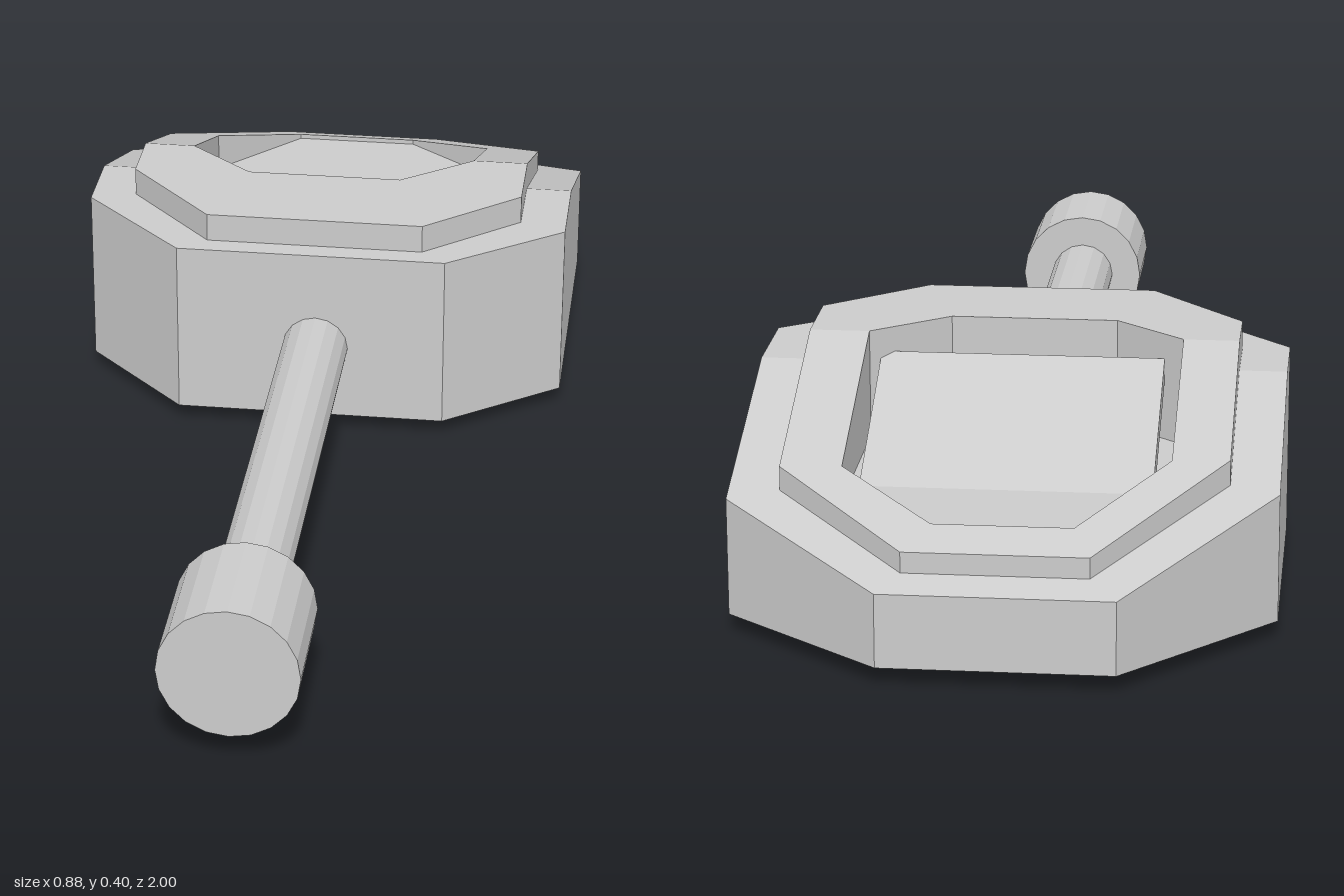
import * as THREE from 'three';

const material = new THREE.MeshStandardMaterial({ color: 0xcccccc, flatShading: true });

// Outlines in plan [x, z]; each carries two points on the crease where the top starts to slope
const CREASE = -0.43;
const hullPlan = [[-0.2, -1], [-0.44, -0.74], [-0.44, CREASE], [-0.44, -0.29], [-0.25, -0.1],
  [0.235, -0.1], [0.44, -0.255], [0.44, CREASE], [0.44, -0.79], [0.175, -1]];
const rimPlan = [[-0.155, -0.95], [-0.36, -0.72], [-0.36, CREASE], [-0.36, -0.315], [-0.2, -0.14],
  [0.19, -0.14], [0.357, -0.285], [0.357, CREASE], [0.357, -0.765], [0.14, -0.95]];
const recessPlan = [[-0.125, -0.885], [-0.267, -0.725], [-0.267, CREASE], [-0.265, -0.428], [-0.15, -0.33],
  [0.13, -0.33], [0.255, -0.428], [0.257, CREASE], [0.257, -0.76], [0.1, -0.885]];

const sloped = (top, fall) => z => top - fall * Math.max(0, CREASE - z);
const hullTop = sloped(0.352, 0.351);
const rimTop = sloped(0.403, 0.383);
const level = y => () => y;
const loop = (plan, height) => plan.map(([x, z]) => [x, height(z), z]);

// Skins consecutive loops and closes the first and last one with flat caps
function skin(loops) {
  const p = [];
  const tri = (a, b, c) => p.push(...a, ...b, ...c);
  const n = loops[0].length;
  for (let k = 0; k + 1 < loops.length; k++) {
    for (let i = 0; i < n; i++) {
      const j = (i + 1) % n;
      const [a, b] = [loops[k], loops[k + 1]];
      tri(a[i], a[j], b[j]);
      tri(a[i], b[j], b[i]);
    }
  }
  const first = loops[0], last = loops[loops.length - 1];
  for (let i = 1; i + 1 < n; i++) {
    tri(first[0], first[i + 1], first[i]);
    tri(last[0], last[i], last[i + 1]);
  }
  const g = new THREE.BufferGeometry();
  g.setAttribute('position', new THREE.Float32BufferAttribute(p, 3));
  g.computeVertexNormals();
  return g;
}

export function createModel() {
  const model = new THREE.Group();
  const add = (name, geometry, x = 0, y = 0, z = 0) => {
    const mesh = new THREE.Mesh(geometry, material);
    mesh.name = name;
    mesh.position.set(x, y, z);
    model.add(mesh);
    return mesh;
  };

  // Eight-sided body: wall, shoulder, raised rim and open recess
  const floorY = 0.22;
  add('turretBody', skin([
    loop(hullPlan, level(0.03)),
    loop(hullPlan, hullTop),
    loop(rimPlan, hullTop),
    loop(rimPlan, rimTop),
    loop(recessPlan, rimTop),
    loop(recessPlan, level(floorY)),
  ]));

  // Tilted hatch plate, its rear edge sunk in the recess floor
  const tilt = 0.45, thick = 0.037;
  const plate = new THREE.BoxGeometry(0.475, thick, 0.322);
  plate.translate(0, -thick / 2, -0.161);
  add('hatchPlate', plate, 0.003, 0.36, -0.4).rotation.x = -tilt;

  // Round turning base underneath
  add('turretRing', new THREE.CylinderGeometry(0.216, 0.216, 0.035, 24), 0.002, 0.0175, -0.59);

  // Gun barrel and muzzle, lying along z
  const rod = (r, length, sides) => new THREE.CylinderGeometry(r, r, length, sides).rotateX(Math.PI / 2);
  add('barrel', rod(0.059, 0.95, 16), 0.002, 0.168, 0.325);
  add('muzzle', rod(0.115, 0.21, 20), 0.003, 0.168, 0.895);

  return model;
}
